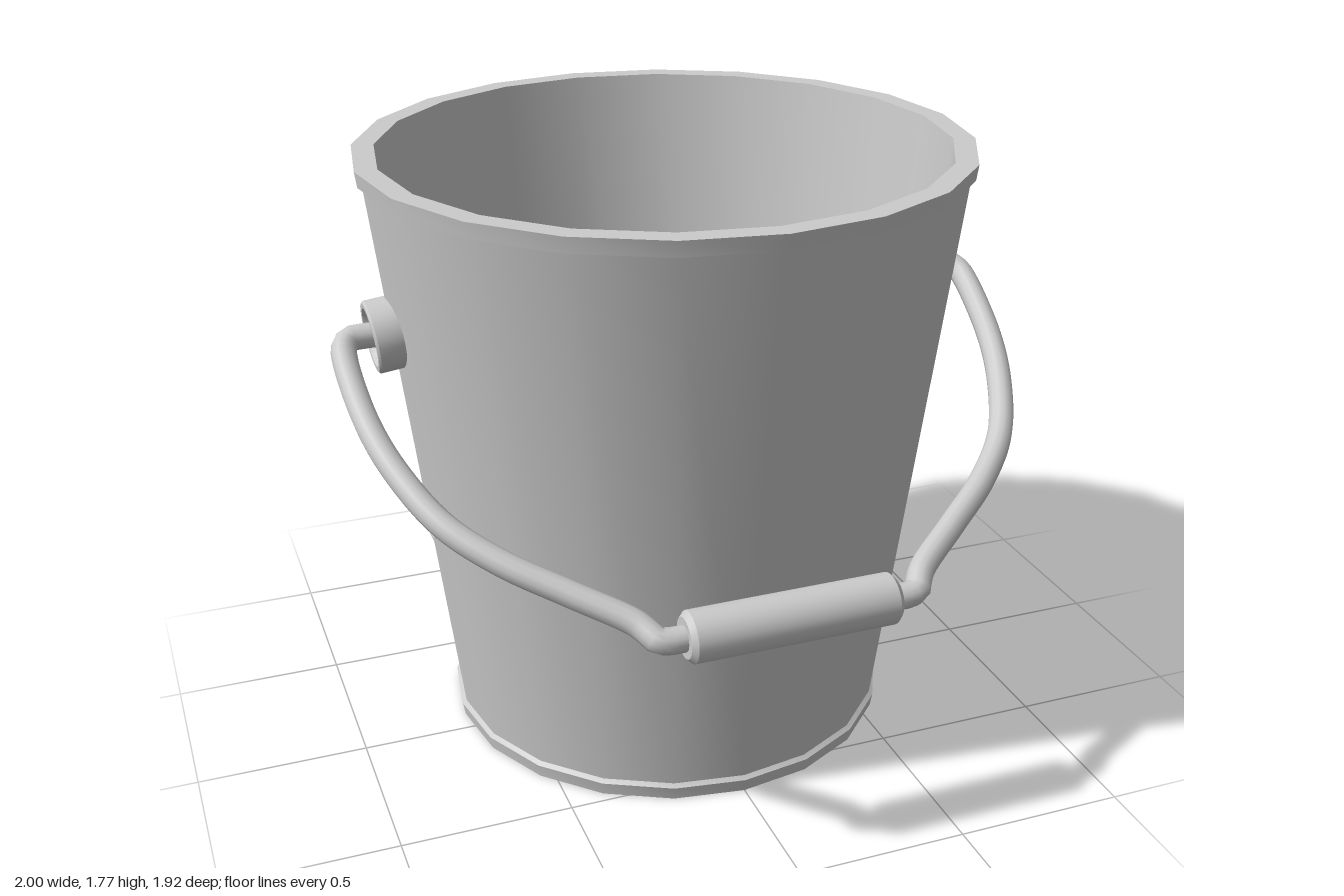
import * as THREE from 'three';
import { toCreasedNormals } from 'three/addons/utils/BufferGeometryUtils.js';

const material = new THREE.MeshStandardMaterial({ color: 0xcccccc });
const PIVOT_Y = 1.305, CENTRE_Z = -0.075;

// Turned part from [radius, height] pairs, with sharp profile corners
function turned(name, profile, segments) {
  const points = profile.map(([r, y]) => new THREE.Vector2(r, y));
  const geometry = toCreasedNormals(new THREE.LatheGeometry(points, segments), Math.PI / 6);
  const mesh = new THREE.Mesh(geometry, material);
  mesh.name = name;
  return mesh;
}

export function createModel() {
  const bucket = new THREE.Group();
  bucket.name = 'bucket';

  // Body: base band, tapered wall, rim, inner wall and floor
  const body = turned('body', [
    [0, 0], [0.67, 0], [0.677, 0.04], [0.665, 0.05],
    [0.867, 1.73], [0.88, 1.73], [0.886, 1.775],
    [0.822, 1.775], [0.64, 0.04], [0, 0.04],
  ], 20);
  body.position.z = CENTRE_Z;
  bucket.add(body);

  // Handle group: its local z runs from the pivots to the grip
  const handle = new THREE.Group();
  handle.name = 'handle';
  handle.position.set(0, PIVOT_Y, CENTRE_Z);
  handle.rotation.x = Math.PI / 6;
  bucket.add(handle);

  for (const s of [1, -1]) {
    const side = s > 0 ? 'left' : 'right';

    // Recessed ear, tilted with the wall
    const ear = turned(side + 'Ear', [
      [0, -0.03], [0.105, -0.03], [0.105, 0.055], [0.099, 0.061],
      [0.084, 0.061], [0.078, 0.054], [0.066, 0.025], [0, 0.025],
    ], 24);
    ear.position.set(s * 0.817, PIVOT_Y, CENTRE_Z);
    ear.rotation.z = -s * (Math.PI / 2 + 0.12);
    bucket.add(ear);

    // Bent wire from ear to grip
    const path = new THREE.CatmullRomCurve3([
      [0.82, 0], [0.9, 0], [0.935, 0.004], [0.955, 0.03], [0.962, 0.08],
      [0.945, 0.31], [0.9, 0.485], [0.82, 0.66], [0.7, 0.8], [0.55, 0.925],
      [0.41, 1.04], [0.385, 1.075], [0.37, 1.1], [0.345, 1.109], [0.27, 1.109],
    ].map(([x, z]) => new THREE.Vector3(s * x, 0, z)));
    const wire = new THREE.Mesh(new THREE.TubeGeometry(path, 72, 0.036, 12), material);
    wire.name = side + 'Wire';
    handle.add(wire);
  }

  // Grip with chamfered ends
  const grip = turned('grip', [
    [0, -0.3], [0.056, -0.3], [0.071, -0.285],
    [0.071, 0.285], [0.056, 0.3], [0, 0.3],
  ], 24);
  grip.rotation.z = Math.PI / 2;
  grip.position.z = 1.109;
  handle.add(grip);

  return bucket;
}
